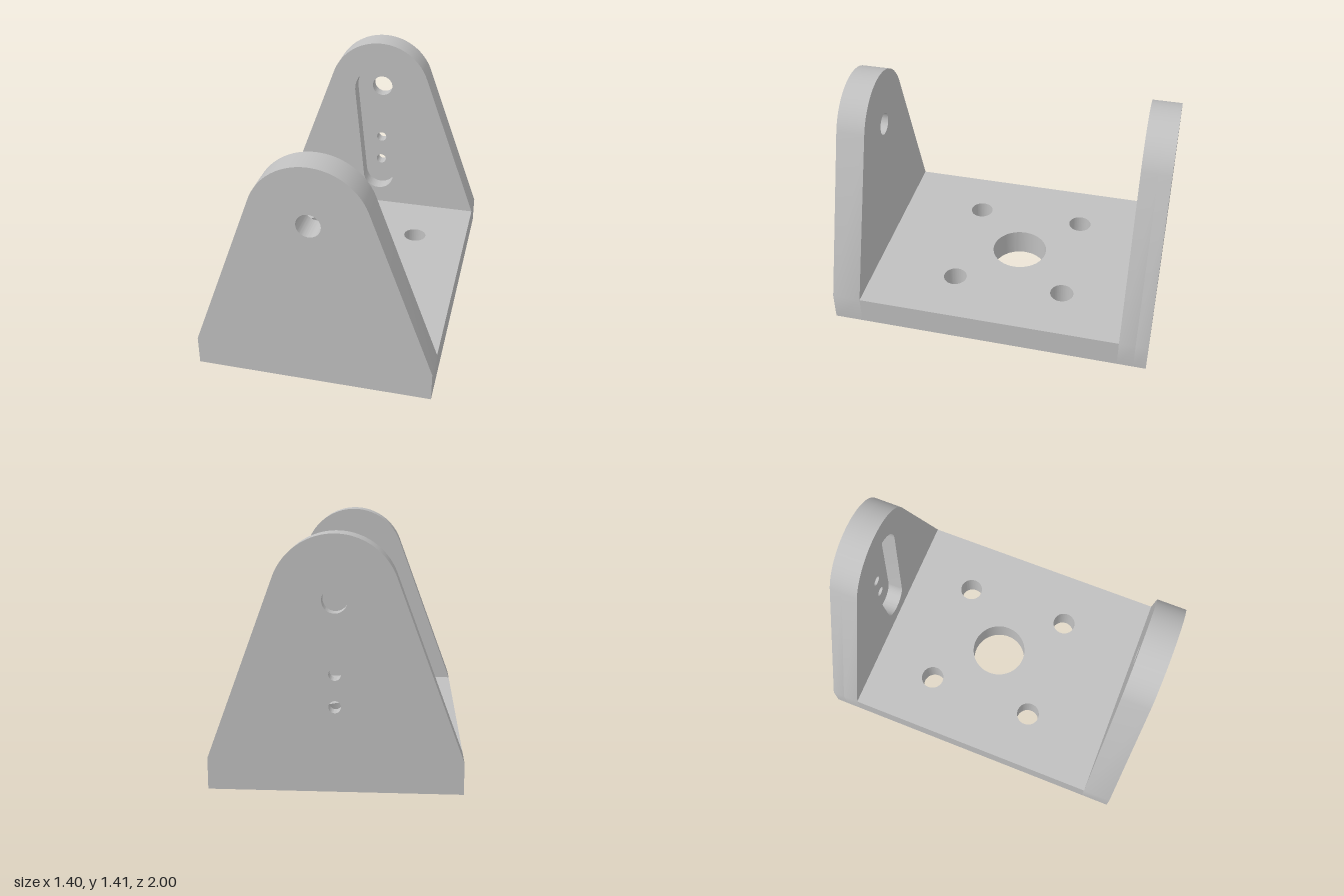
import * as THREE from 'three';
import { toCreasedNormals } from 'three/addons/utils/BufferGeometryUtils.js';

const HALF_W = 0.7, BASE_H = 0.178, PLATE_T = 0.177, POCKET = 0.1;
const PIVOT_Y = 1.06, TOP_R = 0.35, PIVOT_R = 0.07;

function circle(x, y, r) {
  const p = new THREE.Path();
  p.absarc(x, y, r, 0, Math.PI * 2, false);
  return p;
}

// Upright outline: square foot, sides tangent to a round top
function uprightShape(holes) {
  const dx = HALF_W, dy = BASE_H - PIVOT_Y;
  const a = Math.atan2(dy, dx) + Math.acos(TOP_R / Math.hypot(dx, dy));
  const s = new THREE.Shape();
  s.moveTo(-HALF_W, 0);
  s.lineTo(HALF_W, 0);
  s.lineTo(HALF_W, BASE_H);
  s.absarc(0, PIVOT_Y, TOP_R, a, Math.PI - a, false);
  s.lineTo(-HALF_W, BASE_H);
  s.closePath();
  s.holes.push(...holes);
  return s;
}

// Tapered slot with a wide round top and a narrow round bottom
function taperedSlot(y1, r1, y2, r2) {
  const a = Math.asin((r1 - r2) / (y1 - y2));
  const p = new THREE.Path();
  p.absarc(0, y1, r1, -a, Math.PI + a, false);
  p.absarc(0, y2, r2, Math.PI + a, 2 * Math.PI - a, false);
  p.closePath();
  return p;
}

function slab(name, shape, depth, material) {
  const geo = new THREE.ExtrudeGeometry(shape, { depth, bevelEnabled: false, curveSegments: 40 });
  const mesh = new THREE.Mesh(toCreasedNormals(geo, 0.4), material);
  mesh.name = name;
  return mesh;
}

export function createModel() {
  const group = new THREE.Group();
  group.name = 'bracket';
  const grey = new THREE.MeshStandardMaterial({ color: 0xc0c0c0 });
  grey.name = 'light grey';

  // Base plate with a centre hole and four bolt holes
  const zIn = 1 - PLATE_T;
  const b = new THREE.Shape();
  b.moveTo(-HALF_W, -zIn);
  b.lineTo(HALF_W, -zIn);
  b.lineTo(HALF_W, zIn);
  b.lineTo(-HALF_W, zIn);
  b.closePath();
  const holeZ = -0.06;
  b.holes.push(circle(0, -holeZ, 0.177));
  for (const x of [-0.352, 0.352])
    for (const z of [-0.352, 0.352]) b.holes.push(circle(x, z - holeZ, 0.074));
  const base = slab('basePlate', b, BASE_H, grey);
  base.rotation.x = -Math.PI / 2;
  group.add(base);

  // Front upright with its pivot hole
  const front = slab('frontUpright', uprightShape([circle(0, PIVOT_Y, PIVOT_R)]), PLATE_T, grey);
  front.position.z = zIn;
  group.add(front);

  // Back upright: drilled outer layer, and inner layer cut by the pocket
  const drilled = [circle(0, PIVOT_Y, PIVOT_R), circle(0, 0.66, 0.034), circle(0, 0.48, 0.034)];
  const outer = slab('backUprightOuter', uprightShape(drilled), PLATE_T - POCKET, grey);
  outer.position.z = -1;
  const pocket = taperedSlot(PIVOT_Y, 0.176, 0.4, 0.108);
  const inner = slab('backUprightPocketLayer', uprightShape([pocket]), POCKET, grey);
  inner.position.z = -1 + PLATE_T - POCKET;
  group.add(outer, inner);

  return group;
}
